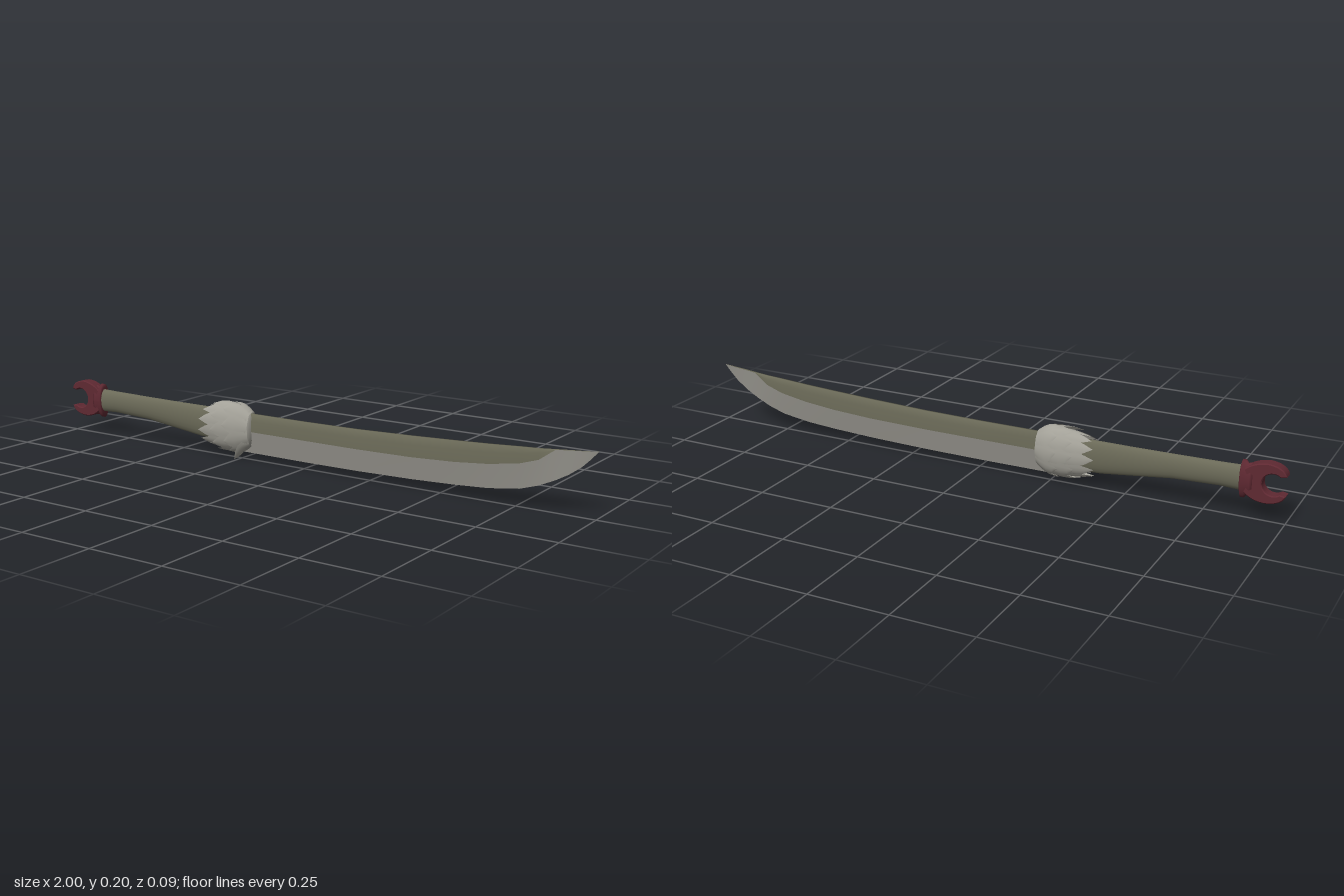
import * as THREE from 'three';

const mat = (name, color) => {
  const m = new THREE.MeshStandardMaterial({ color, side: THREE.DoubleSide });
  m.name = name;
  return m;
};

// Surface through rows of [x, y, z] points
function grid(rows) {
  const n = rows[0].length, index = [];
  for (let i = 0; i < rows.length - 1; i++) {
    for (let j = 0; j < n - 1; j++) {
      const a = i * n + j, b = a + n;
      index.push(a, a + 1, b, a + 1, b + 1, b);
    }
  }
  const g = new THREE.BufferGeometry();
  g.setAttribute('position', new THREE.Float32BufferAttribute(rows.flat(2), 3));
  g.setIndex(index);
  g.computeVertexNormals();
  return g;
}

// Oval solid turned around the x axis; profile is [radius factor, x]
function ovalTurn(profile, yc, ry, rz) {
  const g = new THREE.LatheGeometry(profile.map(([r, x]) => new THREE.Vector2(r, x)), 28);
  g.rotateZ(-Math.PI / 2);
  g.scale(1, ry, rz);
  g.translate(0, yc, 0);
  g.computeVertexNormals();
  return g;
}

export function createModel() {
  const model = new THREE.Group();
  model.name = 'sword';
  const olive = mat('olive', 0x6b6a58);
  const steel = mat('steel grey', 0x93918a);
  const fur = mat('pale grey fur', 0xa3a198);
  const red = mat('dark red', 0x5f2932);
  const add = (name, geo, m, parent = model) => {
    const mesh = new THREE.Mesh(geo, m);
    mesh.name = name;
    parent.add(mesh);
    return mesh;
  };

  // Blade stations: x, spine y, bevel line y, cutting edge y, half thickness
  const stations = [
    [-0.26, 0.16, 0.1, 0.027, 0.011], [0.0, 0.16, 0.1, 0.026, 0.011],
    [0.2, 0.162, 0.1, 0.027, 0.011], [0.4, 0.168, 0.103, 0.031, 0.011],
    [0.55, 0.174, 0.11, 0.037, 0.0105], [0.66, 0.179, 0.12, 0.044, 0.01],
    [0.76, 0.185, 0.136, 0.058, 0.009], [0.82, 0.188, 0.155, 0.077, 0.007],
    [0.87, 0.192, 0.191, 0.1, 0.005], [0.91, 0.195, 0.195, 0.122, 0.004],
    [0.95, 0.198, 0.198, 0.151, 0.003], [0.98, 0.201, 0.201, 0.181, 0.002],
    [0.998, 0.203, 0.203, 0.202, 0.0005],
  ];
  add('bladeSpine', grid(stations.map(([x, top, mid, , h]) => {
    const side = [[x, top, h * 0.35], [x, mid + (top - mid) * 0.6, h * 0.85], [x, mid, h]];
    return [...side.map(([a, b, c]) => [a, b, -c]).reverse(), ...side];
  })), olive);
  add('bladeEdgeFront', grid(stations.map(([x, , mid, bot, h]) => [[x, mid, h], [x, bot, 0]])), steel);
  add('bladeEdgeBack', grid(stations.map(([x, , mid, bot, h]) => [[x, bot, 0], [x, mid, -h]])), steel);

  // Handle: x, top y, bottom y, half depth
  const grip = [
    [-0.875, 0.168, 0.087, 0.021], [-0.8, 0.166, 0.09, 0.018], [-0.65, 0.164, 0.084, 0.017],
    [-0.52, 0.163, 0.068, 0.017], [-0.42, 0.163, 0.056, 0.018], [-0.28, 0.163, 0.05, 0.018],
  ];
  add('handle', grid(grip.map(([x, top, bot, d]) => Array.from({ length: 21 }, (_, j) => {
    const a = Math.PI + j / 20 * Math.PI * 2;
    return [x, (top + bot) / 2 + Math.cos(a) * (top - bot) / 2, Math.sin(a) * d];
  }))), olive);

  // Pommel: open claw and waisted collar
  const claw = new THREE.Shape();
  claw.moveTo(-0.995, 0.095);
  claw.quadraticCurveTo(-0.985, 0.072, -0.94, 0.068);
  claw.quadraticCurveTo(-0.9, 0.068, -0.875, 0.092);
  claw.lineTo(-0.875, 0.162);
  claw.quadraticCurveTo(-0.9, 0.184, -0.94, 0.188);
  claw.quadraticCurveTo(-0.985, 0.186, -0.995, 0.16);
  claw.absarc(-0.96, 0.127, 0.037, Math.PI * 0.7, -Math.PI * 0.7, true);
  const clawGeo = new THREE.ExtrudeGeometry(claw, {
    depth: 0.032, bevelEnabled: true, bevelThickness: 0.003, bevelSize: 0.003,
    bevelSegments: 1, curveSegments: 16,
  });
  clawGeo.translate(0, 0, -0.016);
  add('pommelClaw', clawGeo, red);
  add('pommelCollar', ovalTurn([
    [0, -0.9], [0.85, -0.898], [0.9, -0.89], [0.84, -0.88], [1, -0.872], [1, -0.862], [0.8, -0.859], [0, -0.859],
  ], 0.126, 0.06, 0.025), red);

  // Fur collar: domed core covered by three rows of pointed tufts
  const YC = 0.108, RY = 0.08, RZ = 0.043;
  const collar = new THREE.Group();
  collar.name = 'furCollar';
  model.add(collar);
  add('furCore', ovalTurn([
    [0, -0.37], [0.5, -0.36], [0.8, -0.32], [0.95, -0.28], [0.94, -0.24], [0.78, -0.213], [0.5, -0.205], [0, -0.203],
  ], YC, RY, RZ), fur, collar);

  const taper = [1, 1.05, 0.95, 0.6, 0.02];
  const tuft = (angle, width, x0, length, r0, r1, bulge) => grid(taper.map((w, k) => {
    const t = k / 4;
    return [-1, -0.5, 0, 0.5, 1].map((u) => {
      const a = angle + u * w * width + 0.12 * t * t;
      const r = r0 + (r1 - r0) * t + bulge * Math.sin(Math.PI * t) + 0.04 * (1 - u * u) * (1 - t);
      return [x0 - length * t, YC + Math.cos(a) * RY * r, Math.sin(a) * RZ * r];
    });
  }));
  const rows = [
    { name: 'rearTuft', n: 11, x0: -0.29, len: 0.092, r0: 0.93, r1: 0.78, bulge: 0.05 },
    { name: 'middleTuft', n: 10, x0: -0.25, len: 0.09, r0: 0.95, r1: 1.0, bulge: 0.06 },
    { name: 'frontTuft', n: 9, x0: -0.207, len: 0.085, r0: 0.7, r1: 1.08, bulge: 0.14 },
  ];
  rows.forEach((row, k) => {
    for (let i = 0; i < row.n; i++) {
      const jitter = Math.sin(i * 12.9 + k * 7.3);
      const angle = (i + k * 0.4 + 0.15 * jitter) / row.n * Math.PI * 2;
      const side = k === 0 ? 0.018 * Math.abs(Math.sin(angle)) : 0;
      add(row.name, tuft(angle, Math.PI / row.n * 1.3, row.x0, row.len + side + 0.012 * jitter,
        row.r0, row.r1 + 0.04 * jitter, row.bulge), fur, collar);
    }
  });
  // Longer tuft hanging below
  add('lowerTuft', tuft(Math.PI * 0.8, 0.35, -0.22, 0.04, 0.8, 1.48, -0.05), fur, collar);

  return model;
}
